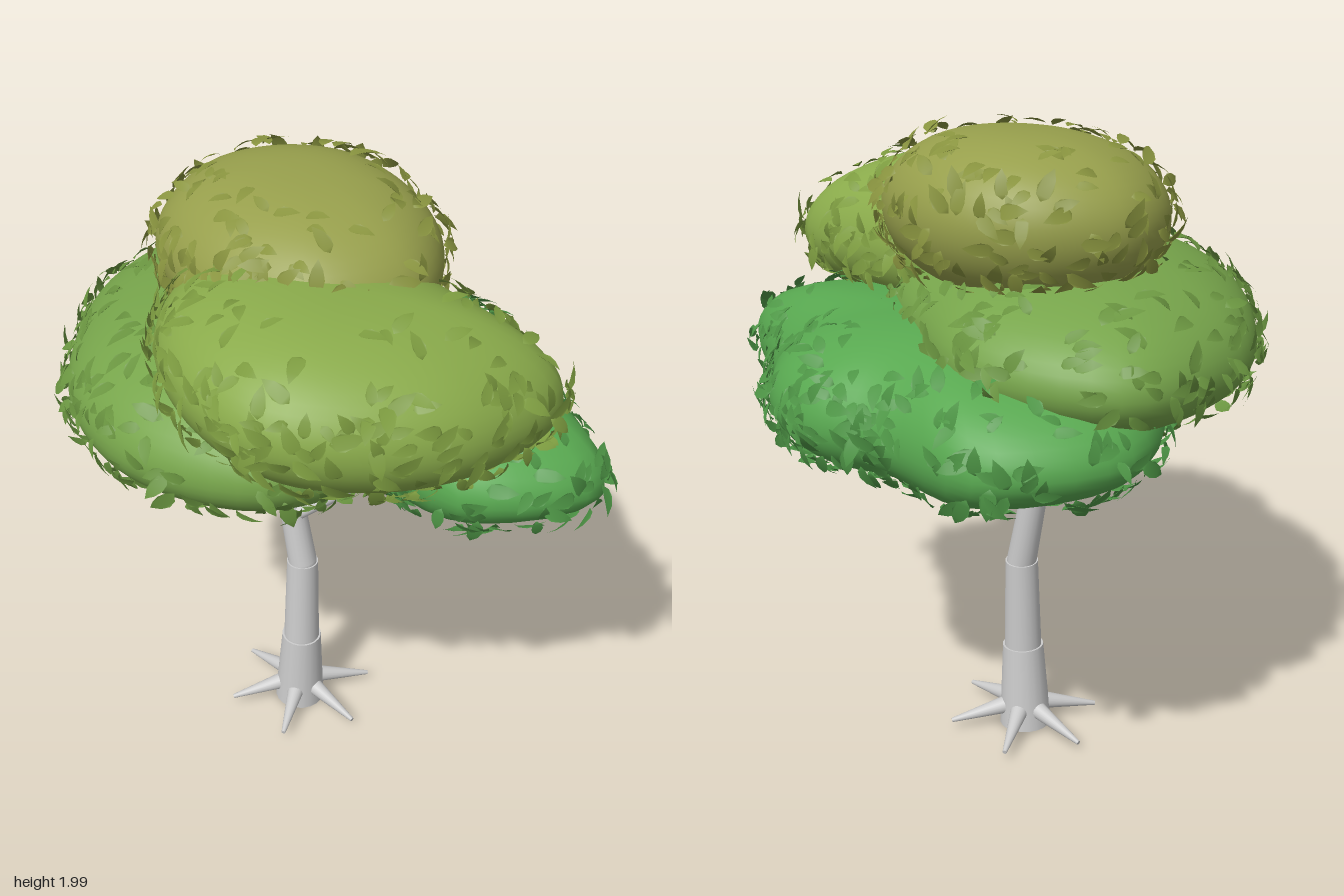
import * as THREE from 'three';
import { mergeGeometries, mergeVertices } from 'three/addons/utils/BufferGeometryUtils.js';

const V = (x, y, z) => new THREE.Vector3(x, y, z);
const UP = V(0, 1, 0);

let seed = 7;
function rand() {
  seed = (seed * 16807) % 2147483647;
  return seed / 2147483647;
}

// Tapered round limb between two points
function limb(name, a, b, r0, r1, material) {
  const d = b.clone().sub(a);
  const mesh = new THREE.Mesh(new THREE.CylinderGeometry(r1, r0, d.length(), 20), material);
  mesh.position.copy(a).addScaledVector(d, 0.5);
  mesh.quaternion.setFromUnitVectors(UP, d.normalize());
  mesh.name = name;
  return mesh;
}

// Foliage clump: rim radii at even angles from +x round by +z, rim slope along x and z
function makeClump(centre, top, bottom, slopeX, slopeZ, radii) {
  const rim = radii.map((r, i) => {
    const a = (i / radii.length) * Math.PI * 2;
    const x = r * Math.cos(a), z = r * Math.sin(a);
    return V(x, slopeX * x + slopeZ * z, z).add(centre);
  });
  return { centre, top, bottom, curve: new THREE.CatmullRomCurve3(rim, true) };
}

// Point on a clump: u runs round the rim, lat from bottom to top
function clumpPoint(c, u, lat) {
  const p = c.curve.getPoint(1 - (u % 1));
  p.sub(c.centre).multiplyScalar(Math.pow(Math.max(0, Math.cos(lat)), 0.8)).add(c.centre);
  const s = Math.sin(lat);
  p.y += s * (s > 0 ? c.top - c.centre.y : c.centre.y - c.bottom);
  return p;
}

function clumpGeometry(c) {
  const w = 56, h = 28;
  const g = new THREE.SphereGeometry(1, w, h);
  const pos = g.attributes.position;
  for (let i = 0; i < pos.count; i++) {
    const u = (i % (w + 1)) / w;
    const lat = Math.PI / 2 - (Math.floor(i / (w + 1)) / h) * Math.PI;
    const p = clumpPoint(c, u, lat);
    pos.setXYZ(i, p.x, p.y, p.z);
  }
  g.deleteAttribute('uv');
  g.deleteAttribute('normal');
  const welded = mergeVertices(g, 1e-4);
  welded.computeVertexNormals();
  return welded;
}

// Pointed leaf along +y, curled slightly backwards
function leafGeometry() {
  const s = new THREE.Shape();
  s.moveTo(0, 0);
  s.bezierCurveTo(0.03, 0.012, 0.024, 0.05, 0, 0.082);
  s.bezierCurveTo(-0.024, 0.05, -0.03, 0.012, 0, 0);
  const g = new THREE.ShapeGeometry(s, 4);
  const pos = g.attributes.position;
  for (let i = 0; i < pos.count; i++) {
    pos.setZ(i, Math.abs(pos.getX(i)) * 0.35 - pos.getY(i) ** 2 * 2.5);
  }
  g.computeVertexNormals();
  return g;
}

// Leaves scattered over a clump, thickest towards the rim
function scatterLeaves(c, leaf, count) {
  const list = [];
  for (let i = 0; i < count; i++) {
    const u = rand();
    const lat = (rand() + rand() - 1) * 1.3;
    const p = clumpPoint(c, u, lat);
    const du = clumpPoint(c, u + 0.004, lat).sub(p).normalize();
    const dv = clumpPoint(c, u, lat + 0.01).sub(p);
    const n = du.clone().cross(dv).normalize();
    const axis = du.clone().applyAxisAngle(n, rand() * Math.PI * 2);
    axis.addScaledVector(n, 0.15 + rand() * 0.5).normalize();
    const side = axis.clone().cross(n).normalize();
    const face = side.clone().cross(axis);
    const size = 0.7 + rand() * 0.45;
    const m = new THREE.Matrix4().makeBasis(side, axis, face).scale(V(size, size, size));
    m.setPosition(p.addScaledVector(n, 0.006));
    list.push(leaf.clone().applyMatrix4(m));
  }
  return mergeGeometries(list);
}

export function createModel() {
  const tree = new THREE.Group();
  tree.name = 'tree';
  const bark = new THREE.MeshStandardMaterial({ color: 0xcccccc });

  // Trunk in stacked, slightly stepped sections
  const trunk = new THREE.Group();
  trunk.name = 'trunk';
  const joints = [V(-0.127, 0.005, 0.01), V(-0.113, 0.29, 0.01), V(-0.117, 0.6, -0.003), V(-0.172, 0.87, 0), V(-0.145, 1.25, 0)];
  const radii = [[0.084, 0.066], [0.06, 0.052], [0.047, 0.041], [0.038, 0.028]];
  radii.forEach(([r0, r1], i) => {
    trunk.add(limb('trunkSection', joints[i], joints[i + 1], r0, r1, bark));
    // Rounded joint closes the bend between sections
    if (i > 0) {
      const knot = new THREE.Mesh(new THREE.SphereGeometry(r0, 20, 12), bark);
      knot.position.copy(joints[i]);
      knot.name = 'trunkJoint';
      trunk.add(knot);
    }
  });
  tree.add(trunk);

  // Branches reaching into the foliage
  const branches = new THREE.Group();
  branches.name = 'branches';
  [
    [V(-0.125, 0.8, 0), V(0.24, 1.11, -0.36)],
    [V(-0.11, 0.98, 0.02), V(-0.37, 1.24, 0.36)],
    [V(-0.16, 0.88, 0), V(-0.23, 1.24, -0.24)],
    [V(-0.15, 0.95, 0), V(0.01, 1.25, 0.07)],
  ].forEach(([a, b]) => branches.add(limb('branch', a, b, 0.026, 0.018, bark)));
  tree.add(branches);

  // Pointed roots around the foot
  const roots = new THREE.Group();
  roots.name = 'roots';
  for (let i = 0; i < 6; i++) {
    const a = (i / 6) * Math.PI * 2;
    const x = Math.cos(a), z = Math.sin(a);
    roots.add(limb('root', V(-0.125 + x * 0.05, 0.075, 0.005 + z * 0.05),
      V(-0.125 + x * 0.25, 0.035, 0.005 + z * 0.24), 0.03, 0.007, bark));
  }
  tree.add(roots);

  // Foliage clumps with their leaves
  const leaf = leafGeometry();
  function addCrown(name, color, leafColor, leafCount, clump) {
    const crown = new THREE.Group();
    crown.name = name;
    const body = new THREE.Mesh(clumpGeometry(clump), new THREE.MeshStandardMaterial({ color }));
    body.name = 'foliage';
    const leaves = new THREE.Mesh(scatterLeaves(clump, leaf, leafCount),
      new THREE.MeshStandardMaterial({ color: leafColor, side: THREE.DoubleSide }));
    leaves.name = 'leaves';
    crown.add(body, leaves);
    tree.add(crown);
  }
  addCrown('crownTop', 0x979f4c, 0x89943f, 360, makeClump(V(-0.13, 1.74, -0.03), 1.97, 1.5, -0.02, -0.04,
    [0.46, 0.45, 0.4, 0.39, 0.43, 0.45, 0.41, 0.38, 0.37, 0.41]));
  addCrown('crownRight', 0x8aab4b, 0x7d9c40, 430, makeClump(V(0.25, 1.59, 0.18), 1.83, 1.36, -0.05, 0.06,
    [0.51, 0.47, 0.49, 0.49, 0.53, 0.58, 0.52, 0.43, 0.43, 0.59]));
  addCrown('crownLeft', 0x77a54b, 0x6a9540, 460, makeClump(V(-0.2, 1.4, 0.15), 1.64, 1.18, 0.02, -0.03,
    [0.66, 0.67, 0.59, 0.53, 0.52, 0.61, 0.75, 0.67, 0.54, 0.57]));
  addCrown('crownBack', 0x58a850, 0x4e9646, 560, makeClump(V(0, 1.23, -0.28), 1.46, 1.03, 0, 0.04,
    [0.82, 0.71, 0.42, 0.36, 0.46, 0.69, 0.81, 0.7, 0.43, 0.44, 0.46, 0.49]));
  return tree;
}
